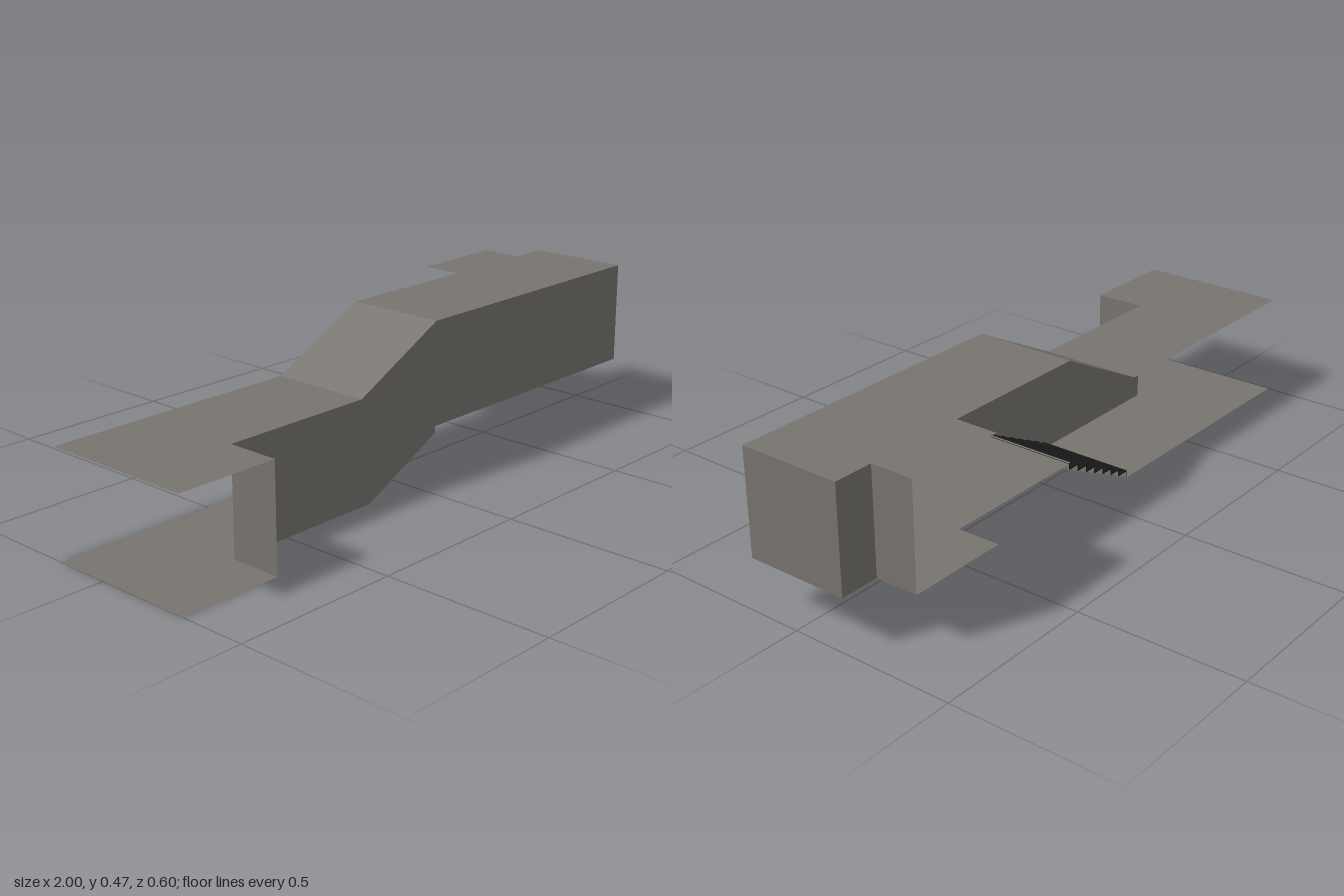
import * as THREE from 'three';

// Corridor extents
const BACK = -0.17, FRONT = 0.143, LOW = 0.315, RISE = 0.158, TOP = 0.472;
const STAIR_START = -0.18, STAIR_END = 0.1, RISERS = 8;

export function createModel() {
  const model = new THREE.Group();
  model.name = 'corridor';

  const concrete = new THREE.MeshStandardMaterial({ color: 0x77736e, side: THREE.DoubleSide });
  concrete.name = 'warm grey concrete';
  const tread = new THREE.MeshStandardMaterial({ color: 0x161616 });
  tread.name = 'black stair covering';

  const add = (name, geometry, material = concrete) => {
    const mesh = new THREE.Mesh(geometry, material);
    mesh.name = name;
    model.add(mesh);
    return mesh;
  };
  const shapeOf = (points) => new THREE.Shape(points.map(([x, y]) => new THREE.Vector2(x, y)));

  // Horizontal plate from an outline of [x, z] points
  const plate = (name, y, outline) => {
    const geometry = new THREE.ShapeGeometry(shapeOf(outline.map(([x, z]) => [x, -z])));
    add(name, geometry.rotateX(-Math.PI / 2).translate(0, y, 0));
  };

  // Rectangular wall standing between two [x, z] points
  const wall = (name, [x0, z0], [x1, z1], y0, y1) => {
    const geometry = new THREE.PlaneGeometry(Math.hypot(x1 - x0, z1 - z0), y1 - y0);
    geometry.rotateY(-Math.atan2(z1 - z0, x1 - x0));
    add(name, geometry.translate((x0 + x1) / 2, (y0 + y1) / 2, (z0 + z1) / 2));
  };

  // Flat-faced sheet following an [x, y] path across the corridor width
  const ribbon = (name, path) => {
    const positions = [];
    for (let i = 0; i < path.length - 1; i++) {
      const [a, b] = [path[i], path[i + 1]];
      positions.push(...a, FRONT, ...b, FRONT, ...b, BACK, ...a, FRONT, ...b, BACK, ...a, BACK);
    }
    const geometry = new THREE.BufferGeometry();
    geometry.setAttribute('position', new THREE.Float32BufferAttribute(positions, 3));
    geometry.computeVertexNormals();
    add(name, geometry);
  };

  // Floors and ceilings, each with its side-passage stub
  const lowerOutline = (end) => [
    [-1, BACK], [end, BACK], [end, FRONT], [-0.69, FRONT], [-0.69, 0.3], [-1, 0.3],
  ];
  const upperOutline = [
    [STAIR_END, BACK], [0.57, BACK], [0.57, -0.3], [0.88, -0.3],
    [0.88, BACK], [1, BACK], [1, FRONT], [STAIR_END, FRONT],
  ];
  plate('lowerFloor', 0, lowerOutline(STAIR_START));
  plate('lowerCeiling', LOW, lowerOutline(-0.21));
  plate('upperFloor', RISE, upperOutline);
  plate('upperCeiling', TOP, upperOutline);
  ribbon('slopedCeiling', [[-0.21, LOW], [STAIR_END, TOP]]);

  // Long front wall, stepping up with the stairs
  const stepHeight = RISE / RISERS;
  add('frontWall', new THREE.ShapeGeometry(shapeOf([
    [-0.69, 0], [STAIR_START, 0], [STAIR_END, RISE - stepHeight], [STAIR_END, RISE],
    [1, RISE], [1, TOP], [STAIR_END, TOP], [-0.21, LOW], [-0.69, LOW],
  ])).translate(0, 0, FRONT));

  // End and side-passage walls
  wall('frontPassageWall', [-0.69, FRONT], [-0.69, 0.3], 0, LOW);
  wall('endWall', [1, FRONT], [1, BACK], RISE, TOP);
  wall('backCornerWall', [1, BACK], [0.88, BACK], RISE, TOP);
  wall('backPassageWall', [0.88, BACK], [0.88, -0.3], RISE, TOP);

  // Stairs: grey folded underside with a thin dark covering
  const steps = [];
  const stepDepth = (STAIR_END - STAIR_START) / (RISERS - 1);
  for (let i = 0; i < RISERS; i++) {
    const x = STAIR_START + i * stepDepth;
    steps.push([x, i * stepHeight], [x, (i + 1) * stepHeight]);
  }
  ribbon('stairUnderside', steps);
  const offset = (d) => steps.map(([x, y]) => [x - d, y + d]);
  add('stairCovering', new THREE.ExtrudeGeometry(
    shapeOf([...offset(0.001), ...offset(0.004).reverse()]),
    { depth: FRONT - BACK - 0.002, bevelEnabled: false },
  ).translate(0, 0, BACK), tread);

  return model;
}
